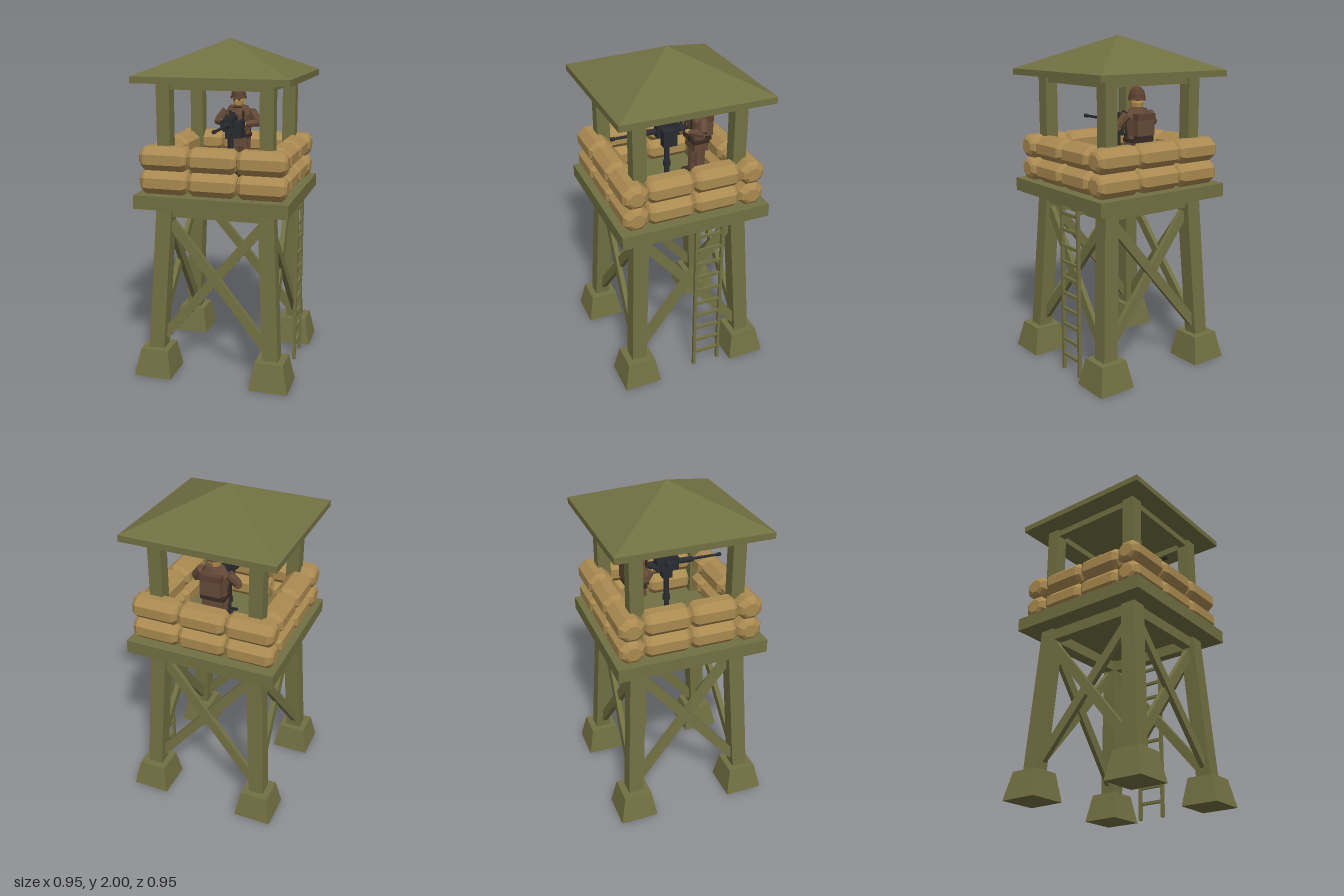
import * as THREE from 'three';

const mat = (name, color) => new THREE.MeshStandardMaterial({ name, color });

export function createModel() {
  const green = mat('olive timber', 0x717042);
  const sand = mat('sandbag canvas', 0xaa8a50);
  const cloth = mat('brown uniform', 0x654a38);
  const helmetMat = mat('helmet brown', 0x5c4131);
  const leather = mat('dark leather', 0x382b22);
  const skin = mat('skin', 0xb8924f);
  const steel = mat('gun steel', 0x2a2b30);

  const root = new THREE.Group();
  root.name = 'watchtower';
  const group = (name, parent = root) => {
    const g = new THREE.Group();
    g.name = name;
    parent.add(g);
    return g;
  };
  const add = (parent, name, geo, material, x = 0, y = 0, z = 0) => {
    const m = new THREE.Mesh(geo, material);
    m.name = name;
    m.position.set(x, y, z);
    parent.add(m);
    return m;
  };
  const box = (parent, name, material, w, h, d, x, y, z) =>
    add(parent, name, new THREE.BoxGeometry(w, h, d), material, x, y, z);
  const flat = (geo) => {
    const g = geo.index ? geo.toNonIndexed() : geo;
    g.computeVertexNormals();
    return g;
  };
  // Moves every vertex by a rule, then facets the result
  const warp = (geo, rule) => {
    const p = geo.attributes.position, v = new THREE.Vector3();
    for (let i = 0; i < p.count; i++) {
      rule(v.fromBufferAttribute(p, i));
      p.setXYZ(i, v.x, v.y, v.z);
    }
    return flat(geo);
  };
  // Square prism whose centre and half width change from bottom to top
  const taper = (c0, h0, y0, c1, h1, y1, sx = 1, sz = 1) =>
    warp(new THREE.BoxGeometry(2, 2, 2), (v) => {
      const top = v.y > 0, c = top ? c1 : c0, h = top ? h1 : h0;
      v.set(sx * c + v.x * h, top ? y1 : y0, sz * c + v.z * h);
    });
  // Faceted round bar between two points
  const rod = (parent, name, material, a, b, r0, r1 = r0, sides = 8) => {
    const A = new THREE.Vector3(...a), B = new THREE.Vector3(...b);
    const d = B.clone().sub(A);
    const m = add(parent, name, flat(new THREE.CylinderGeometry(r1, r0, d.length(), sides)), material);
    m.position.copy(A).add(B).multiplyScalar(0.5);
    m.quaternion.setFromUnitVectors(new THREE.Vector3(0, 1, 0), d.normalize());
    return m;
  };

  // Footings, leaning legs and roof posts at the four corners
  const frame = group('frame');
  for (const sx of [-1, 1]) for (const sz of [-1, 1]) {
    add(frame, 'footing', taper(0.357, 0.116, 0, 0.354, 0.085, 0.165, sx, sz), green);
    add(frame, 'leg', taper(0.353, 0.047, 0.16, 0.305, 0.047, 1.05, sx, sz), green);
    box(frame, 'roofPost', green, 0.08, 0.65, 0.08, sx * 0.303, 1.445, sz * 0.303);
  }

  // Beams and cross braces, repeated on all four sides
  const lean = 0.054;
  for (let i = 0; i < 4; i++) {
    const side = group('sideFrame', frame);
    side.rotation.y = i * Math.PI / 2;
    box(side, 'floorBeam', green, 0.56, 0.068, 0.06, 0, 1.013, 0.305);
    box(side, 'roofBeam', green, 0.56, 0.045, 0.05, 0, 1.745, 0.303);
    for (const s of [-1, 1]) {
      const A = new THREE.Vector3(-0.27 * s, 0.942, 0.353 - lean * 0.777);
      const B = new THREE.Vector3(0.315 * s, 0.235, 0.353 - lean * 0.07);
      const d = B.clone().sub(A), len = d.length();
      const x = d.normalize();
      const n = new THREE.Vector3(0, lean, 1).normalize();
      const y = new THREE.Vector3().crossVectors(n, x).normalize();
      n.crossVectors(x, y);
      const brace = box(side, 'crossBrace', green, len, 0.058, 0.03, 0, 0, 0);
      brace.quaternion.setFromRotationMatrix(new THREE.Matrix4().makeBasis(x, y, n));
      brace.position.copy(A).add(B).multiplyScalar(0.5).addScaledVector(n, 0.008 * s);
    }
  }

  // Platform and roof
  box(root, 'platform', green, 0.91, 0.08, 0.91, 0, 1.085, 0);
  box(root, 'roofSlab', green, 0.91, 0.037, 0.91, 0, 1.782, 0);
  const roof = new THREE.ConeGeometry(0.455 * Math.SQRT2, 0.2, 4, 1, true);
  roof.rotateY(Math.PI / 4);
  add(root, 'roof', flat(roof), green, 0, 1.9, 0);

  // Ladder on the left side
  const ladder = group('ladder');
  for (const z of [-0.01, -0.175]) {
    box(ladder, 'ladderRail', green, 0.02, 1.046, 0.018, 0.418, 0.523, z);
    box(ladder, 'ladderBracket', green, 0.1, 0.02, 0.018, 0.365, 1.01, z);
  }
  for (let i = 0; i < 10; i++)
    box(ladder, 'ladderRung', green, 0.016, 0.018, 0.16, 0.418, 0.098 + i * 0.0985, -0.092);

  // Sandbags: octagonal sections pulled in at both ends
  const bagGeo = (len) => {
    const ends = [0.5, 0.46, 0.385], size = [0.56, 0.8, 1];
    const k = 1 / Math.cos(Math.PI / 8);
    const geo = new THREE.CylinderGeometry(k, k, 1, 8, 5);
    geo.rotateY(Math.PI / 8);
    const bag = warp(geo, (v) => {
      const ring = Math.round((v.y + 0.5) * 5), e = Math.min(ring, 5 - ring);
      v.set(v.x * 0.07 * size[e], Math.sign(v.y) * ends[e] * len, v.z * 0.076 * size[e]);
    });
    return bag.rotateZ(Math.PI / 2);
  };
  const longBag = bagGeo(0.292), sideBag = bagGeo(0.28);
  const bags = group('sandbags');
  for (const y of [1.195, 1.332]) for (const s of [-1, 1]) {
    for (const x of [-0.288, 0, 0.288]) add(bags, 'sandbag', longBag, sand, x, y, s * 0.354);
    for (const z of [-0.14, 0.14])
      add(bags, 'sandbag', sideBag, sand, s * 0.354, y, z).rotation.y = Math.PI / 2;
  }

  // Machine gun on its stand
  const gun = group('machineGun');
  rod(gun, 'standPost', steel, [0, 1.125, 0], [0, 1.45, 0], 0.017);
  rod(gun, 'standBase', steel, [0, 1.125, 0], [0, 1.15, 0], 0.05, 0.03);
  rod(gun, 'standCollar', steel, [0, 1.255, 0], [0, 1.285, 0], 0.024);
  for (let i = 0; i < 3; i++) {
    const a = i * Math.PI * 2 / 3;
    rod(gun, 'standFoot', steel, [0, 1.2, 0], [Math.sin(a) * 0.12, 1.13, Math.cos(a) * 0.12], 0.01, 0.01, 6);
  }
  box(gun, 'cradle', steel, 0.05, 0.06, 0.06, 0, 1.435, 0);
  box(gun, 'receiver', steel, 0.055, 0.075, 0.14, 0, 1.492, 0);
  box(gun, 'receiverCover', steel, 0.045, 0.016, 0.1, 0, 1.533, -0.01);
  box(gun, 'ammoBox', steel, 0.05, 0.1, 0.085, 0.055, 1.465, 0.01);
  box(gun, 'feedTray', steel, 0.03, 0.03, 0.05, -0.04, 1.5, 0.01);
  box(gun, 'rearSight', steel, 0.02, 0.025, 0.012, 0, 1.545, -0.058);
  rod(gun, 'barrelJacket', steel, [0, 1.493, 0.065], [0, 1.493, 0.165], 0.018);
  rod(gun, 'barrel', steel, [0, 1.493, 0.16], [0, 1.493, 0.345], 0.009, 0.008);
  rod(gun, 'muzzle', steel, [0, 1.493, 0.325], [0, 1.493, 0.348], 0.012);
  box(gun, 'gripFrame', steel, 0.09, 0.014, 0.05, 0, 1.49, -0.09);
  for (const s of [-1, 1])
    rod(gun, 'grip', steel, [s * 0.04, 1.455, -0.115], [s * 0.04, 1.51, -0.11], 0.009, 0.009, 6);

  // Gunner standing behind the gun
  const man = group('gunner');
  const torso = warp(new THREE.CylinderGeometry(1, 1, 1, 8, 3), (v) => {
    const k = Math.round((v.y + 0.5) * 3);
    v.x *= [0.072, 0.07, 0.092, 0.06][k];
    v.z *= [0.048, 0.05, 0.058, 0.04][k];
    v.y = [1.37, 1.43, 1.535, 1.585][k];
  });
  add(man, 'torso', torso, cloth, 0, 0, -0.195);
  box(man, 'belt', leather, 0.146, 0.022, 0.1, 0, 1.4, -0.195);
  box(man, 'hips', cloth, 0.13, 0.06, 0.09, 0, 1.365, -0.195);
  box(man, 'backpack', cloth, 0.125, 0.12, 0.045, 0, 1.49, -0.25);
  box(man, 'backpackFlap', helmetMat, 0.13, 0.035, 0.05, 0, 1.54, -0.25);
  box(man, 'bedroll', leather, 0.12, 0.03, 0.03, 0, 1.415, -0.25);
  for (const s of [-1, 1]) {
    rod(man, 'upperArm', cloth, [s * 0.082, 1.55, -0.195], [s * 0.132, 1.49, -0.175], 0.03, 0.025);
    rod(man, 'forearm', cloth, [s * 0.136, 1.485, -0.18], [s * 0.06, 1.477, -0.12], 0.025, 0.018);
    rod(man, 'hand', skin, [s * 0.064, 1.478, -0.124], [s * 0.036, 1.482, -0.105], 0.016, 0.013, 6);
    rod(man, 'trouserLeg', cloth, [s * 0.045, 1.17, -0.195], [s * 0.036, 1.37, -0.195], 0.03, 0.04);
    box(man, 'boot', leather, 0.055, 0.05, 0.1, s * 0.046, 1.15, -0.182);
    box(man, 'chestStrap', leather, 0.016, 0.12, 0.008, s * 0.042, 1.5, -0.139);
    box(man, 'pouch', leather, 0.036, 0.035, 0.02, s * 0.036, 1.42, -0.14);
  }
  rod(man, 'neck', skin, [0, 1.57, -0.19], [0, 1.61, -0.185], 0.024);
  rod(man, 'collar', cloth, [0, 1.572, -0.193], [0, 1.59, -0.193], 0.042, 0.034);
  const head = warp(new THREE.SphereGeometry(1, 8, 6), (v) => {
    v.set(v.x * 0.037, v.y * 0.05, v.z * 0.045);
  });
  add(man, 'head', head, skin, 0, 1.617, -0.182);
  box(man, 'nose', skin, 0.012, 0.018, 0.014, 0, 1.61, -0.137);
  box(man, 'chinStrap', leather, 0.05, 0.008, 0.06, 0, 1.577, -0.175);
  for (const s of [-1, 1])
    box(man, 'eye', leather, 0.012, 0.008, 0.006, s * 0.015, 1.624, -0.142);
  const dome = new THREE.SphereGeometry(1, 10, 4, 0, Math.PI * 2, 0, Math.PI / 2);
  dome.scale(0.048, 0.07, 0.054);
  add(man, 'helmet', flat(dome), helmetMat, 0, 1.643, -0.184);
  const brim = new THREE.CylinderGeometry(0.048, 0.053, 0.014, 10);
  brim.scale(1, 1, 1.1);
  add(man, 'helmetBrim', flat(brim), helmetMat, 0, 1.638, -0.184);

  return root;
}
